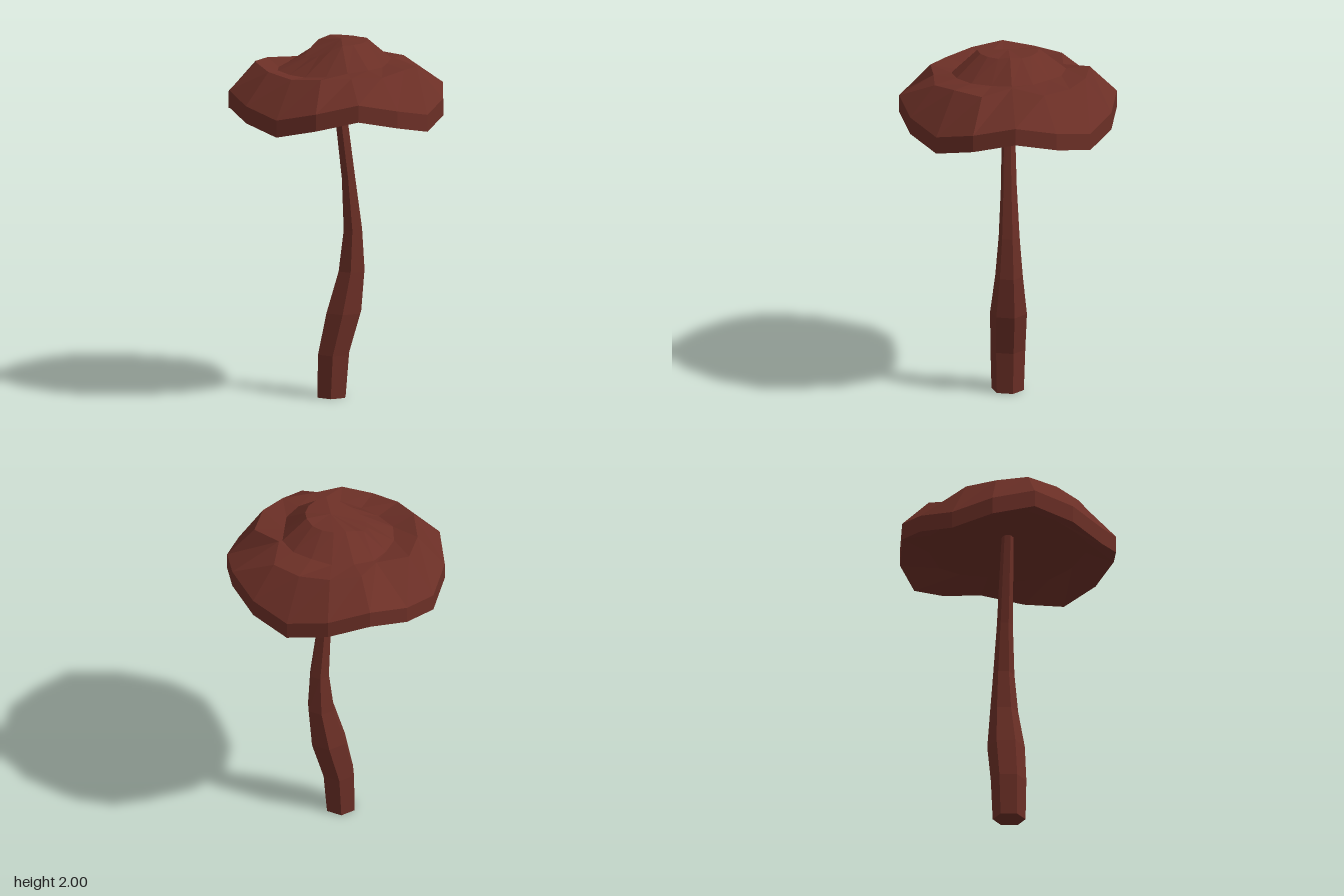
import * as THREE from 'three';

const rust = new THREE.MeshStandardMaterial({ color: 0x6b2f26, flatShading: true });
rust.name = 'rust brown';

// Joins rings of points (listed from the bottom up) into a faceted skin; a ring of one point closes an end
function skin(rings) {
  const pos = [];
  const tri = (...pts) => pts.forEach((p) => pos.push(...p));
  for (let k = 0; k < rings.length - 1; k++) {
    const a = rings[k], b = rings[k + 1];
    const n = Math.max(a.length, b.length);
    for (let i = 0; i < n; i++) {
      const j = (i + 1) % n;
      if (a.length === 1) tri(a[0], b[i], b[j]);
      else if (b.length === 1) tri(a[i], b[0], a[j]);
      else {
        tri(a[i], b[i], a[j]);
        tri(a[j], b[i], b[j]);
      }
    }
  }
  const g = new THREE.BufferGeometry();
  g.setAttribute('position', new THREE.Float32BufferAttribute(pos, 3));
  g.computeVertexNormals();
  return g;
}

// One ring around the y axis; radius and height are functions of the step index
function ring(n, radius, height, cx = 0, start = 0, rz = radius) {
  return Array.from({ length: n }, (_, i) => {
    const t = start + (i / n) * Math.PI * 2;
    return [cx + radius(i) * Math.cos(t), height(i), rz(i) * Math.sin(t)];
  });
}

function buildCap() {
  const N = 16;
  const wave = (i) => 1.59 + 0.05 * Math.cos((i / N) * Math.PI * 8);
  // shoulder and crown foot, starting at +x and turning towards +z
  const shoulderR = [0.33, 0.45, 0.45, 0.45, 0.41, 0.45, 0.45, 0.45, 0.45, 0.45, 0.45, 0.34, 0.45, 0.45, 0.45, 0.45];
  const shoulderY = [1.88, 1.86, 1.87, 1.85, 1.85, 1.85, 1.84, 1.86, 1.885, 1.86, 1.85, 1.85, 1.88, 1.87, 1.86, 1.86];
  const footR = [0.31, 0.285, 0.305, 0.315, 0.31, 0.305, 0.31, 0.31, 0.33, 0.32, 0.31, 0.32, 0.32, 0.31, 0.3, 0.31];
  const footY = [1.88, 1.87, 1.87, 1.87, 1.86, 1.84, 1.83, 1.83, 1.83, 1.83, 1.84, 1.85, 1.87, 1.87, 1.88, 1.88];
  const crownY = [2, 1.99, 1.99, 1.99, 1.99, 1.96, 1.93, 1.91, 1.9, 1.91, 1.93, 1.97, 1.99, 1.99, 1.99, 1.99];
  return skin([
    [[0, 1.73, 0]],                                  // hollow underside
    ring(N, () => 0.44, (i) => 1.66 + (wave(i) - 1.59) * 0.4),
    ring(N, () => 0.6, wave),                        // rim
    ring(N, () => 0.6, (i) => wave(i) + 0.095),
    ring(N, (i) => shoulderR[i], (i) => shoulderY[i]),
    ring(N, (i) => footR[i], (i) => footY[i]),
    ring(N, () => 0.17, (i) => crownY[i]),           // crown
    [[0.03, 2, 0]],
  ]);
}

function buildStem() {
  // height, left x, right x, half depth
  const sections = [
    [0, -0.11, 0.06, 0.088],
    [0.24, -0.107, 0.08, 0.095],
    [0.47, -0.06, 0.148, 0.1],
    [0.7, 0.01, 0.165, 0.075],
    [0.93, 0.04, 0.15, 0.057],
    [1.22, 0.03, 0.11, 0.043],
    [1.64, -0.015, 0.055, 0.034],
    [1.75, -0.025, 0.04, 0.03],
  ];
  const rings = sections.map(([y, l, r, d]) =>
    ring(6, () => ((r - l) / 2) * 1.03, () => y, (l + r) / 2, -Math.PI / 12, () => d * 1.03));
  return skin([[[-0.025, 0, 0]], ...rings, [[0.008, 1.75, 0]]]);
}

export function createModel() {
  const group = new THREE.Group();
  group.name = 'mushroom';
  const add = (name, geometry) => {
    const mesh = new THREE.Mesh(geometry, rust);
    mesh.name = name;
    group.add(mesh);
  };
  add('stem', buildStem());
  add('cap', buildCap());
  return group;
}
